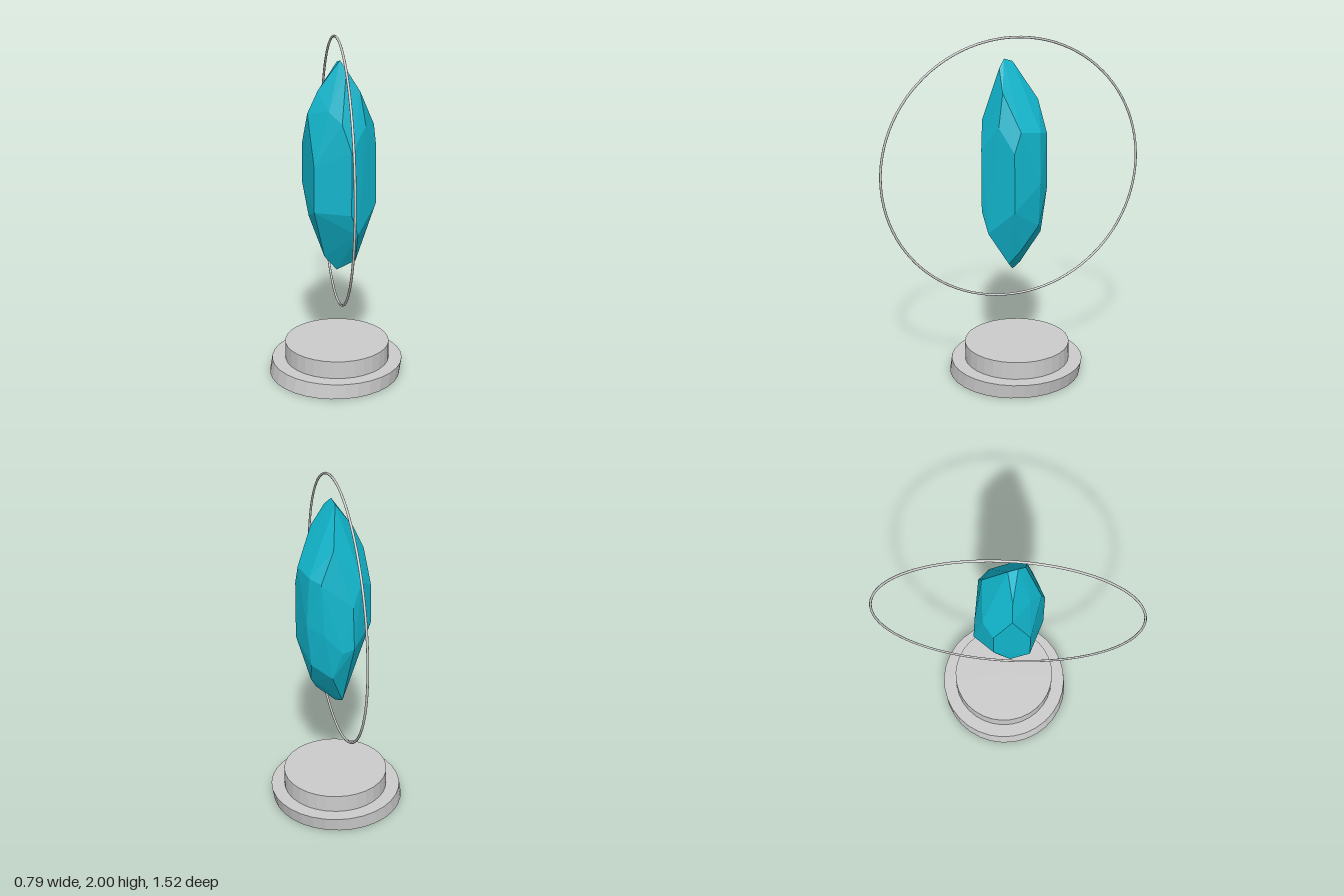
import * as THREE from 'three';
import { ConvexGeometry } from 'three/addons/geometries/ConvexGeometry.js';

const grey = new THREE.MeshStandardMaterial({ color: 0xcccccc, flatShading: true });
const ringGrey = new THREE.MeshStandardMaterial({ color: 0xcccccc });
const teal = new THREE.MeshStandardMaterial({ color: 0x11b5cc, flatShading: true });

// Corners of the cut stone, from the top point down to the bottom point
const crystalCorners = [
  // crown
  [0.01, 1.88, 0.053], [0, 1.862, 0], [0.04, 1.835, 0.09],
  [0.116, 1.713, 0.095], [-0.11, 1.71, 0.03], [0.04, 1.65, -0.135],
  // shoulder
  [-0.06, 1.61, 0.12], [-0.168, 1.585, 0.03], [0.005, 1.55, 0.178],
  [0.143, 1.53, 0.127], [0.206, 1.51, 0.02], [0.17, 1.49, -0.105],
  [0.115, 1.47, -0.162], [-0.18, 1.47, -0.03], [-0.12, 1.45, -0.13],
  // upper ends of the upright edges
  [0.055, 1.395, 0.2], [0.213, 1.395, 0.06], [-0.187, 1.395, -0.07],
  [-0.06, 1.32, -0.178], [-0.144, 1.3, 0.13],
  // lower ends of the upright edges
  [0.185, 1.2, -0.1], [-0.19, 1.17, -0.07], [0.1, 1.16, -0.172],
  [-0.065, 1.07, -0.19], [0.215, 1.06, 0.058], [0.055, 1.035, 0.2],
  [-0.145, 1.04, 0.13], [0, 1.05, -0.19],
  // pavilion
  [-0.164, 0.99, 0.02], [0.16, 0.95, -0.1], [0.095, 0.91, 0.175],
  [0.05, 0.875, -0.153], [0.143, 0.803, 0],
  [-0.074, 0.737, 0.02], [0.1, 0.715, 0.055],
  [-0.03, 0.668, -0.055], [0, 0.645, 0],
];

function disc(name, radius, y0, y1, bottom, top) {
  // The rim leans from the bottom centre to the top centre
  const geometry = new THREE.CylinderGeometry(radius, radius, y1 - y0, 32);
  const p = geometry.attributes.position;
  for (let i = 0; i < p.count; i++) {
    const isTop = p.getY(i) > 0;
    const [cx, cz] = isTop ? top : bottom;
    p.setXYZ(i, p.getX(i) + cx, isTop ? y1 : y0, p.getZ(i) + cz);
  }
  geometry.computeVertexNormals();
  const mesh = new THREE.Mesh(geometry, grey);
  mesh.name = name;
  return mesh;
}

export function createModel() {
  const model = new THREE.Group();
  model.name = 'crystalOnPedestal';

  // Two-step pedestal
  const topCentre = [0.005, -0.025];
  model.add(disc('pedestalLower', 0.386, 0, 0.085, [-0.01, -0.017], topCentre));
  model.add(disc('pedestalUpper', 0.307, 0.085, 0.19, topCentre, topCentre));

  // Floating crystal
  const points = crystalCorners.map((c) => new THREE.Vector3(...c));
  const crystal = new THREE.Mesh(new ConvexGeometry(points), teal);
  crystal.name = 'crystal';
  model.add(crystal);

  // Thin upright hoop around the crystal, turned very slightly
  const hoop = new THREE.Mesh(new THREE.TorusGeometry(0.754, 0.007, 8, 96), ringGrey);
  hoop.geometry.rotateY(Math.PI / 2);
  hoop.name = 'hoop';
  hoop.position.set(-0.002, 1.238, 0);
  hoop.rotation.set(0, -0.016, -0.004);
  model.add(hoop);

  return model;
}
